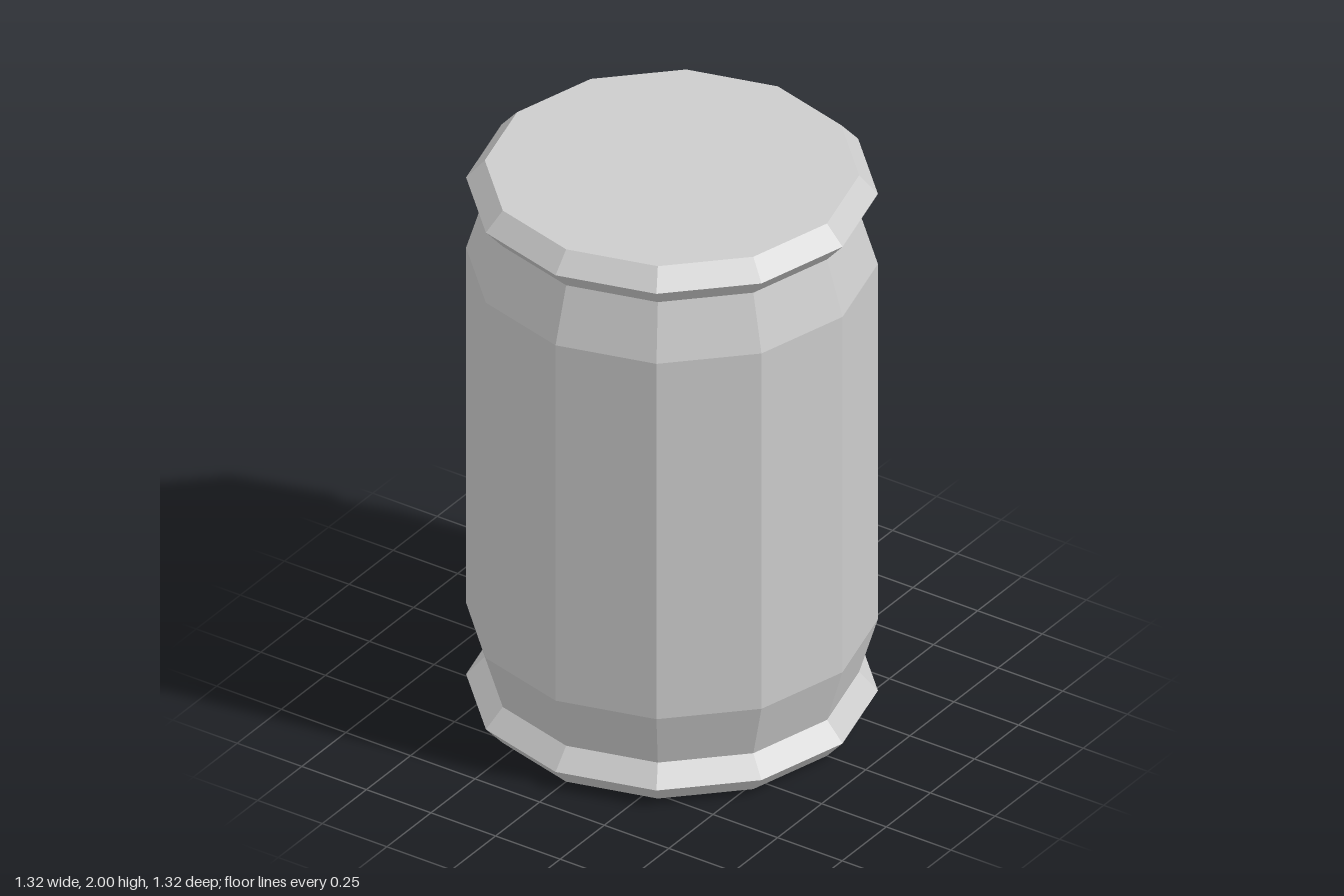
import * as THREE from 'three';

const SIDES = 12;
const R = 0.66;      // widest radius
const NECK = 0.6;    // radius at the necks and end faces

export function createModel() {
  const group = new THREE.Group();
  group.name = 'barrel';
  const metal = new THREE.MeshStandardMaterial({ color: 0xcccccc, flatShading: true });
  metal.name = 'light grey metal';

  const add = (name, geometry) => {
    const mesh = new THREE.Mesh(geometry, metal);
    mesh.name = name;
    group.add(mesh);
    return mesh;
  };
  // Twelve-sided shell from a [radius, height] profile, listed bottom to top
  const shell = (name, profile) =>
    add(name, new THREE.LatheGeometry(profile.map(([r, y]) => new THREE.Vector2(r, y)), SIDES));

  // Body with tapered shoulders
  shell('body', [[NECK, 0.135], [R, 0.335], [R, 1.67], [NECK, 1.865]]);

  // Ridged rims at both ends
  shell('bottomRim', [[NECK, 0], [R, 0.067], [NECK, 0.135]]);
  shell('topRim', [[NECK, 1.865], [R, 1.933], [NECK, 2]]);

  // Flat end faces
  for (const [name, y, turn] of [['lid', 2, -1], ['base', 0, 1]]) {
    const face = add(name, new THREE.CircleGeometry(NECK, SIDES));
    face.rotation.x = turn * Math.PI / 2;
    face.position.y = y;
  }

  return group;
}
